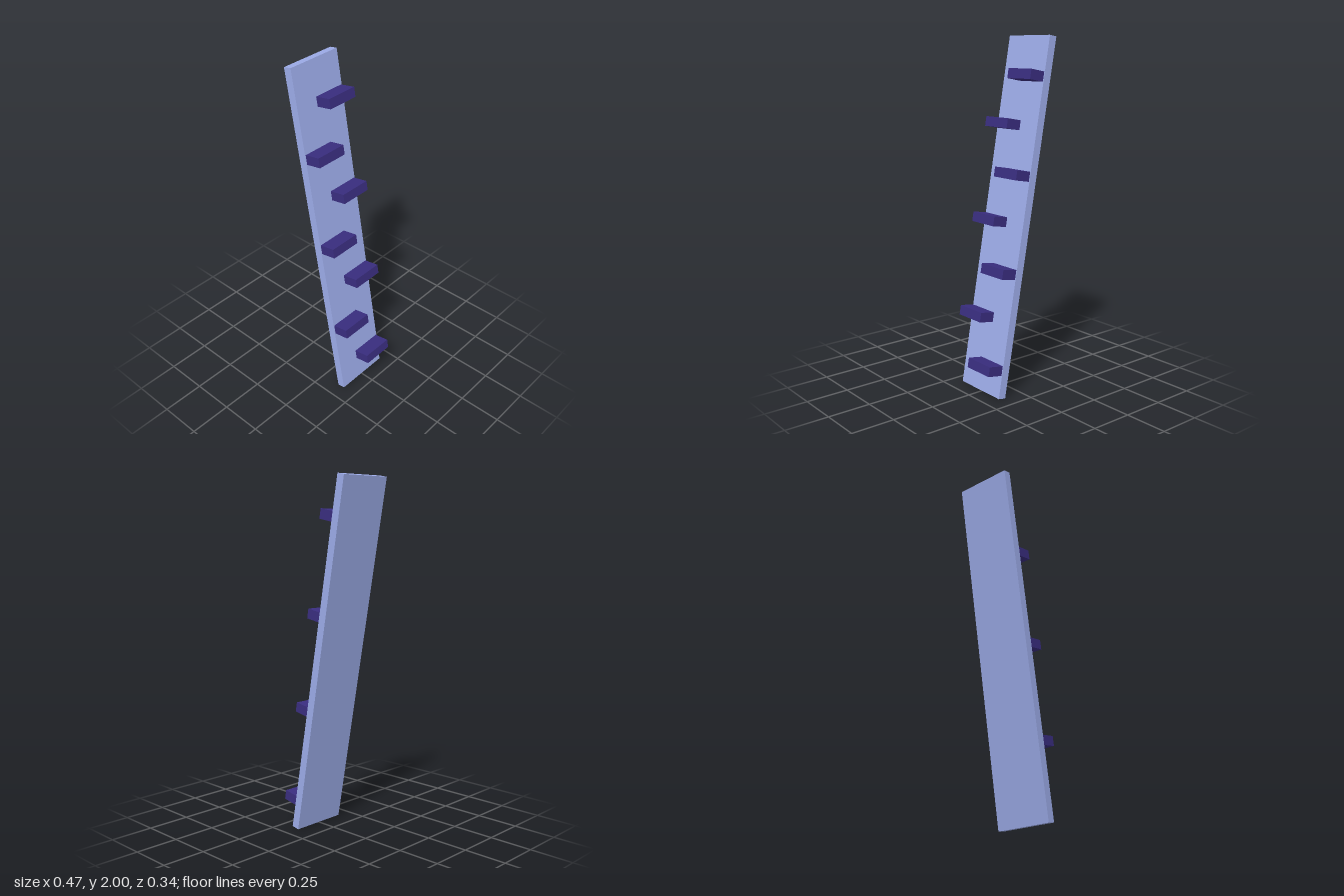
import * as THREE from 'three';

const TILT = 0.178;
const BOARD = { thickness: 0.047, length: 2.0235, width: 0.336 };
const STEP = { depth: 0.0937, height: 0.0553, width: 0.19, count: 7, spacing: 0.273 };

function box(name, size, position, material) {
  const mesh = new THREE.Mesh(new THREE.BoxGeometry(...size), material);
  mesh.name = name;
  mesh.position.set(...position);
  return mesh;
}

export function createModel() {
  const model = new THREE.Group();
  model.name = 'leaningStepBoard';
  const boardMaterial = new THREE.MeshStandardMaterial({ color: 0x9cabe8 });
  const stepMaterial = new THREE.MeshStandardMaterial({ color: 0x392d7f });

  // Everything is built upright, then leaned over as one piece
  const ladder = new THREE.Group();
  ladder.name = 'ladder';
  ladder.position.set(-0.0345, 1, 0);
  ladder.rotation.z = TILT;
  model.add(ladder);

  // Long plank
  ladder.add(box('board', [BOARD.thickness, BOARD.length, BOARD.width], [0, 0, 0], boardMaterial));

  // Footholds on the +x face, alternating between the back and front edge
  const stepX = (BOARD.thickness + STEP.depth) / 2;
  for (let i = 0; i < STEP.count; i++) {
    const y = -0.032 + (i - (STEP.count - 1) / 2) * STEP.spacing;
    const z = i % 2 === 0 ? -0.068 : 0.069;
    ladder.add(box(`step${i + 1}`, [STEP.depth, STEP.height, STEP.width], [stepX, y, z], stepMaterial));
  }
  return model;
}
